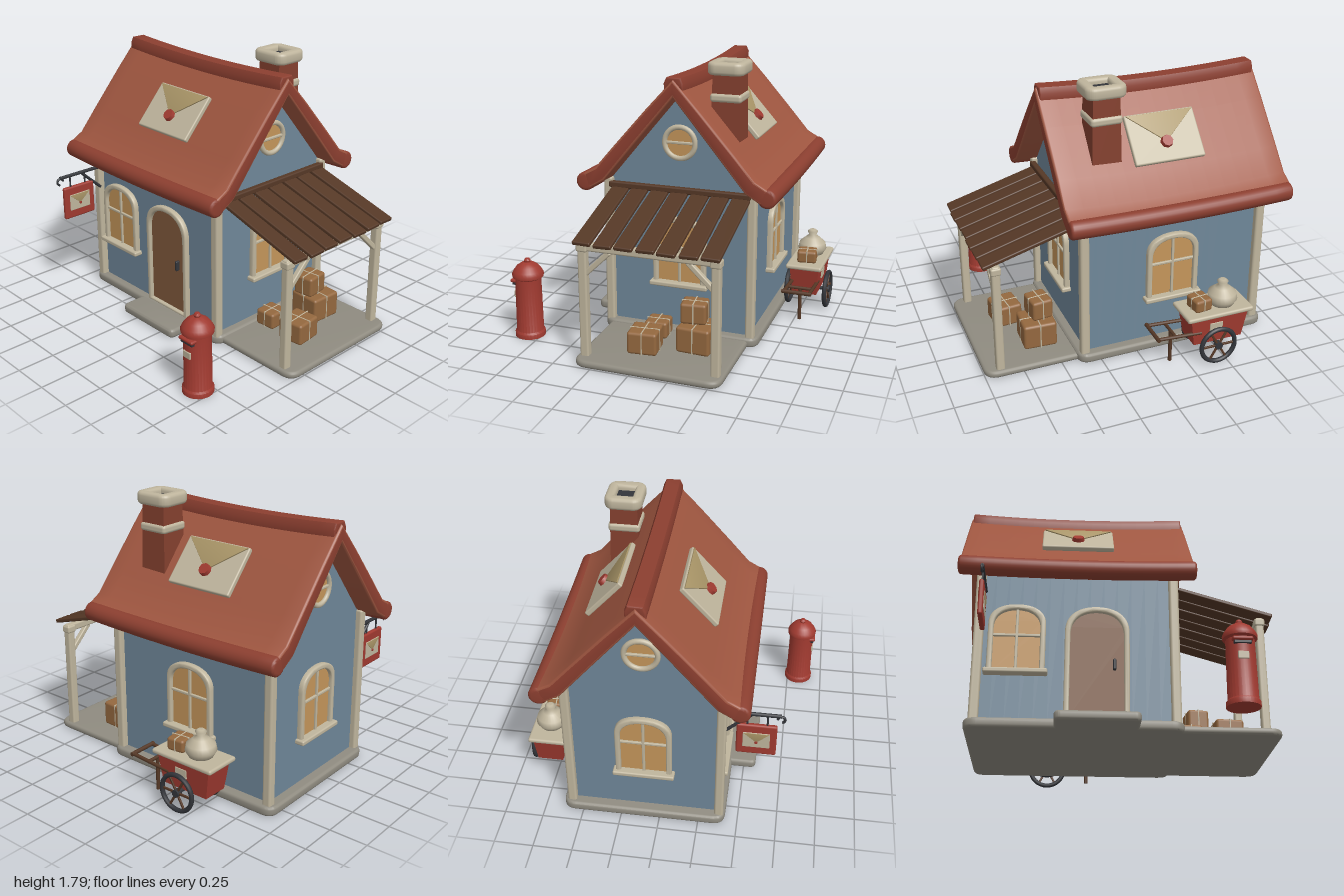
import * as THREE from 'three';
import { toCreasedNormals } from 'three/addons/utils/BufferGeometryUtils.js';
import { RoundedBoxGeometry } from 'three/addons/geometries/RoundedBoxGeometry.js';

const C = {
  wall: 0x6f8799, cream: 0xbfb59d, stone: 0x8f8b80, roof: 0x9f5640, trim: 0x8c3f30, brick: 0x84402f,
  glass: 0xc4955a, door: 0x80593c, plank: 0x553826, box: 0x94683f, red: 0xa03a30, iron: 0x33353a, flap: 0xaa9668,
};
const MID = -0.1; // z of the ridge

const mat = (color, side = THREE.FrontSide) => new THREE.MeshStandardMaterial({ color, side });
function add(parent, name, geo, color, x = 0, y = 0, z = 0) {
  const m = new THREE.Mesh(geo, mat(color));
  m.name = name;
  m.position.set(x, y, z);
  parent.add(m);
  return m;
}
function group(parent, name, x = 0, y = 0, z = 0, ry = 0) {
  const g = new THREE.Group();
  g.name = name;
  g.position.set(x, y, z);
  g.rotation.y = ry;
  parent.add(g);
  return g;
}
const rbox = (p, name, color, w, h, d, x, y, z, r = 0.01) =>
  add(p, name, new RoundedBoxGeometry(w, h, d, 2, Math.min(r, w * 0.45, h * 0.45, d * 0.45)), color, x, y, z);

// Straight round bar between two points
function rod(p, name, color, a, b, r) {
  const A = new THREE.Vector3(...a), B = new THREE.Vector3(...b);
  const m = add(p, name, new THREE.CylinderGeometry(r, r, A.distanceTo(B), 10), color);
  m.position.copy(A).lerp(B, 0.5);
  m.quaternion.setFromUnitVectors(new THREE.Vector3(0, 1, 0), B.sub(A).normalize());
  return m;
}
// Bevelled extrusion that keeps the outline's size, spanning z 0..depth
function extrude(shape, depth, bevel, steps = 1) {
  const g = new THREE.ExtrudeGeometry(shape, {
    depth: depth - 2 * bevel, steps, curveSegments: 12, bevelEnabled: bevel > 0,
    bevelThickness: bevel, bevelSize: bevel, bevelOffset: -bevel, bevelSegments: 3,
  });
  g.translate(0, 0, bevel);
  return toCreasedNormals(g, 0.6);
}
// Profile (distance from ridge, height) swept along x, sagging in the middle
function sweepX(shape, x0, x1, bevel, sag) {
  const g = extrude(shape, x1 - x0, bevel, 14).rotateY(Math.PI / 2).translate(x0, 0, MID);
  const p = g.attributes.position;
  for (let i = 0; i < p.count; i++) {
    const u = (2 * (p.getX(i) - x0)) / (x1 - x0) - 1;
    p.setY(i, p.getY(i) - sag * (1 - u * u));
  }
  return g;
}
const poly = pts => new THREE.Shape(pts.map(q => new THREE.Vector2(...q)));
function arch(w, h, rise, y0 = 0, Kind = THREE.Shape) {
  const s = new Kind(), a = w / 2;
  s.moveTo(-a, y0).lineTo(a, y0).lineTo(a, h - rise);
  s.bezierCurveTo(a, h - rise * 0.3, a * 0.55, h, 0, h);
  s.bezierCurveTo(-a * 0.55, h, -a, h - rise * 0.3, -a, h - rise);
  s.lineTo(-a, y0);
  return s;
}
function slab(p, name, x0, x1, z0, z1, h, r) {
  const a = (x1 - x0) / 2, b = (z1 - z0) / 2, s = new THREE.Shape();
  s.moveTo(-a + r, -b).lineTo(a - r, -b).quadraticCurveTo(a, -b, a, -b + r).lineTo(a, b - r);
  s.quadraticCurveTo(a, b, a - r, b).lineTo(-a + r, b).quadraticCurveTo(-a, b, -a, b - r);
  s.lineTo(-a, -b + r).quadraticCurveTo(-a, -b, -a + r, -b);
  add(p, name, extrude(s, h, 0.018).rotateX(-Math.PI / 2), C.stone, (x0 + x1) / 2, 0, (z0 + z1) / 2);
}

// Arched frame around a panel, facing +z
function archedFrame(g, w, h, rise, t, panel, y0) {
  const s = arch(w, h, rise);
  s.holes.push(arch(w - 2 * t, h - t, rise * 0.92, y0, THREE.Path));
  add(g, 'frame', extrude(s, 0.045, 0.01), C.cream, 0, 0, -0.01);
  add(g, 'panel', extrude(arch(w - t, h - t / 2, rise), 0.02, 0), panel, 0, 0, -0.01);
}
function window_(p, x, z, ry) {
  const g = group(p, 'window', x, 0.35, z, ry);
  archedFrame(g, 0.355, 0.46, 0.13, 0.034, C.glass, 0.025);
  rbox(g, 'mullion', C.cream, 0.018, 0.41, 0.022, 0, 0.225, 0.012, 0.005);
  rbox(g, 'glazingBar', C.cream, 0.3, 0.018, 0.022, 0, 0.255, 0.012, 0.005);
  rbox(g, 'sill', C.cream, 0.39, 0.032, 0.07, 0, 0.01, 0.025);
}
function envelope(p, x, y, z) {
  const g = group(p, 'envelope', x, y, z);
  rbox(g, 'paper', C.cream, 0.47, 0.33, 0.035, 0, 0, 0);
  add(g, 'flap', extrude(poly([[-0.225, 0.155], [0, -0.04], [0.225, 0.155]]), 0.012, 0.003), C.flap, 0, 0, 0.013);
  add(g, 'seal', new THREE.CylinderGeometry(0.036, 0.042, 0.025, 8).rotateX(Math.PI / 2), C.red, 0, -0.04, 0.03);
  return g;
}
function parcel(p, w, h, d, x, y, z, ry = 0) {
  const g = group(p, 'parcel', x, y + h / 2, z, ry);
  rbox(g, 'carton', C.box, w, h, d, 0, 0, 0, 0.018);
  rbox(g, 'stringAcross', C.cream, 0.008, h + 0.004, d + 0.004, 0, 0, 0, 0.002);
  rbox(g, 'stringAlong', C.cream, w + 0.004, h + 0.004, 0.008, 0, 0, 0, 0.002);
}

function buildHouse(root) {
  const h = group(root, 'house');
  slab(h, 'foundation', -0.92, 0.4, -0.63, 0.42, 0.062, 0.08);
  slab(h, 'doorStep', -0.385, 0.125, 0.36, 0.58, 0.06, 0.04);
  const gable = poly([[-0.465, 0.03], [0.465, 0.03], [0.465, 1.07], [0, 1.62], [-0.465, 1.07]]);
  add(h, 'walls', sweepX(gable, -0.85, 0.34, 0, 0), C.wall);
  for (const x of [-0.86, 0.35]) for (const z of [0.38, -0.575])
    rbox(h, 'cornerPost', C.cream, 0.06, 1.0, 0.058, x, 0.54, z, 0.015);

  window_(h, -0.625, 0.365, 0);
  window_(h, -0.25, -0.565, Math.PI);
  window_(h, 0.34, MID, Math.PI / 2);
  window_(h, -0.85, MID, -Math.PI / 2);
  for (const s of [1, -1]) {
    const g = group(h, 'roundWindow', s > 0 ? 0.34 : -0.85, 1.295, MID, s * Math.PI / 2);
    add(g, 'ring', new THREE.TorusGeometry(0.1, 0.017, 10, 32), C.cream, 0, 0, 0.01);
    add(g, 'pane', new THREE.CircleGeometry(0.1, 32), C.glass, 0, 0, 0.006);
    rbox(g, 'glazingBar', C.cream, 0.19, 0.017, 0.02, 0, 0, 0.01, 0.005);
  }
  const d = group(h, 'door', -0.13, 0.06, 0.365);
  archedFrame(d, 0.4, 0.745, 0.17, 0.034, C.door, 0.02);
  rbox(d, 'handle', C.iron, 0.02, 0.072, 0.03, 0.107, 0.36, 0.025, 0.008);
}

function buildRoof(root) {
  const r = group(root, 'roof');
  const top = [[0.6, 1.08], [0.52, 1.125], [0.4, 1.265], [0.18, 1.515], [0, 1.71]];
  const under = [[0, 1.6], [0.25, 1.3], [0.46, 1.045], [0.57, 0.98]];
  const flip = a => a.map(([x, y]) => [-x, y]).reverse();
  const outline = poly([...top, ...flip(top).slice(1), ...flip(under), ...under.slice(1)]);
  const shell = add(r, 'roofShell', sweepX(outline, -1, 0.485, 0.014, 0.025), C.roof);
  shell.material = [mat(C.trim), mat(C.roof)];
  for (const s of [1, -1]) {
    const roll = new THREE.Shape().absarc(s * 0.594, 1.025, 0.06, 0, Math.PI * 2);
    add(r, 'eaveRoll', sweepX(roll, -1, 0.485, 0.018, 0.015), C.trim);
    const side = group(r, 'roofSign', -0.255, 1.39, MID + s * 0.29, s > 0 ? 0 : Math.PI);
    envelope(side, 0, 0, 0).rotation.x = -0.73;
  }
  const cap = poly([[0.06, 1.645], [0.062, 1.685], [0.045, 1.722], [-0.045, 1.722], [-0.062, 1.685], [-0.06, 1.645], [0, 1.69]]);
  add(r, 'ridgeCap', sweepX(cap, -0.985, 0.47, 0.01, 0.025), C.trim);

  // Chimney: tapered stack, band and hollow cap
  const c = group(root, 'chimney', 0.15, 0, -0.36);
  const stack = new THREE.CylinderGeometry(0.122, 0.138, 0.55, 4).rotateY(Math.PI / 4).toNonIndexed();
  stack.computeVertexNormals();
  add(c, 'stack', stack, C.brick, 0, 1.47, 0);
  rbox(c, 'band', C.cream, 0.205, 0.055, 0.205, 0, 1.57, 0, 0.02);
  const ring = new THREE.Shape().absarc(0.07, 0.06, 0.06, 0, Math.PI / 2);
  ring.absarc(-0.07, 0.06, 0.06, Math.PI / 2, Math.PI).absarc(-0.07, -0.06, 0.06, Math.PI, Math.PI * 1.5);
  ring.absarc(0.07, -0.06, 0.06, Math.PI * 1.5, Math.PI * 2);
  ring.holes.push(new THREE.Path([[-0.06, -0.055], [-0.06, 0.055], [0.06, 0.055], [0.06, -0.055]].map(q => new THREE.Vector2(...q))));
  add(c, 'cap', extrude(ring, 0.08, 0.022).rotateX(-Math.PI / 2), C.cream, 0, 1.712, 0);
  rbox(c, 'flue', C.iron, 0.14, 0.02, 0.13, 0, 1.745, 0, 0.004);
}

function buildPorch(root) {
  const p = group(root, 'porch');
  slab(p, 'porchFloor', 0.3, 1.0, -0.57, 0.37, 0.046, 0.09);
  for (let i = 0; i < 7; i++) {
    const s = rbox(p, 'roofPlank', C.plank, 0.66 + (i % 3) * 0.008, 0.026, 0.115, 0.665, 0.888, -0.507 + i * 0.1333, 0.008);
    s.rotation.z = -0.285;
    s.rotation.x = (i % 2 ? 1 : -1) * 0.02;
  }
  rbox(p, 'ledger', C.plank, 0.04, 0.04, 0.94, 0.37, 0.995, MID, 0.01);
  rbox(p, 'beam', C.cream, 0.05, 0.052, 0.9, 0.897, 0.757, MID, 0.012);
  for (const s of [1, -1]) {
    const z = MID + s * 0.42;
    rbox(p, 'porchPost', C.cream, 0.054, 0.73, 0.056, 0.897, 0.4, z, 0.012);
    rbox(p, 'postCap', C.cream, 0.066, 0.05, 0.07, 0.897, 0.75, z, 0.012);
    const b = rbox(p, 'brace', C.cream, 0.035, 0.22, 0.034, 0.897, 0.66, z - s * 0.095, 0.008);
    b.rotation.x = -s * 0.8;
  }
  parcel(p, 0.145, 0.11, 0.15, 0.477, 0.046, 0.0, 0.05);
  parcel(p, 0.18, 0.145, 0.19, 0.715, 0.046, 0.0, 0.1);
  parcel(p, 0.22, 0.17, 0.22, 0.585, 0.046, -0.305, -0.05);
  parcel(p, 0.14, 0.135, 0.165, 0.56, 0.216, -0.275, 0.12);
}

function buildPillarBox(root) {
  const g = group(root, 'postBox', 0.665, 0, 0.83);
  const pts = [[0, 0], [0.098, 0], [0.098, 0.03], [0.088, 0.042], [0.084, 0.4], [0.1, 0.41], [0.102, 0.43],
    [0.092, 0.45], [0.07, 0.48], [0.04, 0.5], [0.02, 0.506], [0.022, 0.517], [0.014, 0.53], [0, 0.533]];
  add(g, 'pillar', toCreasedNormals(new THREE.LatheGeometry(pts.map(q => new THREE.Vector2(...q)), 28), 0.7), C.red);
  rbox(g, 'slotHood', C.red, 0.12, 0.022, 0.05, 0, 0.382, 0.075);
  rbox(g, 'slot', C.iron, 0.1, 0.018, 0.04, 0, 0.362, 0.07, 0.004);
  rbox(g, 'label', C.cream, 0.062, 0.045, 0.02, 0, 0.282, 0.08, 0.004);
}

function buildHangingSign(root) {
  const g = group(root, 'hangingSign', -0.83, 0, 0);
  rod(g, 'arm', C.iron, [0, 0.9, 0.38], [0, 0.9, 0.73], 0.012);
  rod(g, 'armBrace', C.iron, [0, 0.75, 0.4], [0, 0.89, 0.55], 0.01);
  add(g, 'curl', new THREE.TorusGeometry(0.022, 0.008, 8, 16, 4.5).rotateY(Math.PI / 2), C.iron, 0, 0.875, 0.73);
  for (const z of [0.53, 0.65]) rod(g, 'hanger', C.iron, [0, 0.81, z], [0, 0.9, z], 0.006);
  rbox(g, 'board', C.red, 0.03, 0.23, 0.245, 0, 0.705, 0.588, 0.012);
  for (const s of [1, -1]) {
    const e = envelope(g, s * 0.012, 0.705, 0.588);
    e.rotation.y = s * Math.PI / 2;
    e.scale.setScalar(0.35);
    e.getObjectByName('seal').scale.setScalar(0.7);
  }
}

function buildCart(root) {
  const g = group(root, 'handCart', -0.45, 0, -0.783);
  const tub = new THREE.CylinderGeometry(0.5 * Math.SQRT2, 0.42 * Math.SQRT2, 0.2, 4).rotateY(Math.PI / 4).scale(0.4, 1, 0.2).toNonIndexed();
  tub.computeVertexNormals();
  add(g, 'tub', tub, C.red, 0, 0.235, 0);
  rbox(g, 'rim', C.cream, 0.46, 0.032, 0.245, 0, 0.34, 0, 0.014);
  rbox(g, 'label', C.cream, 0.09, 0.06, 0.012, 0.02, 0.25, -0.093, 0.004);
  rod(g, 'axle', C.iron, [0.02, 0.132, -0.14], [0.02, 0.132, 0.14], 0.013);
  for (const s of [1, -1]) {
    const w = group(g, 'wheel', 0.02, 0.132, s * 0.133);
    add(w, 'tyre', new THREE.TorusGeometry(0.117, 0.015, 8, 32), C.iron);
    add(w, 'hub', new THREE.CylinderGeometry(0.025, 0.025, 0.035, 12).rotateX(Math.PI / 2), C.iron);
    for (let i = 0; i < 3; i++) rbox(w, 'spokes', C.plank, 0.225, 0.014, 0.012, 0, 0, 0, 0.003).rotation.z = i * Math.PI / 3;
    rod(g, 'handleBar', C.plank, [0.12, 0.22, s * 0.085], [0.425, 0.24, s * 0.085], 0.012);
  }
  rod(g, 'handleGrip', C.plank, [0.42, 0.24, -0.1], [0.42, 0.24, 0.1], 0.013);
  rod(g, 'leg', C.plank, [0.295, 0, 0], [0.295, 0.22, 0], 0.012);
  rod(g, 'legCrossbar', C.plank, [0.295, 0.225, -0.085], [0.295, 0.225, 0.085], 0.011);
  const sack = [[0, 0], [0.075, 0.005], [0.098, 0.045], [0.09, 0.085], [0.05, 0.12], [0.026, 0.14], [0.036, 0.165], [0.02, 0.178], [0, 0.175]];
  add(g, 'sack', new THREE.LatheGeometry(sack.map(q => new THREE.Vector2(...q)), 24), C.cream, -0.06, 0.352, 0);
  parcel(g, 0.12, 0.085, 0.13, 0.1, 0.352, 0, 0.12);
}

export function createModel() {
  const root = new THREE.Group();
  root.name = 'postOffice';
  [buildHouse, buildRoof, buildPorch, buildPillarBox, buildHangingSign, buildCart].forEach(f => f(root));
  return root;
}
